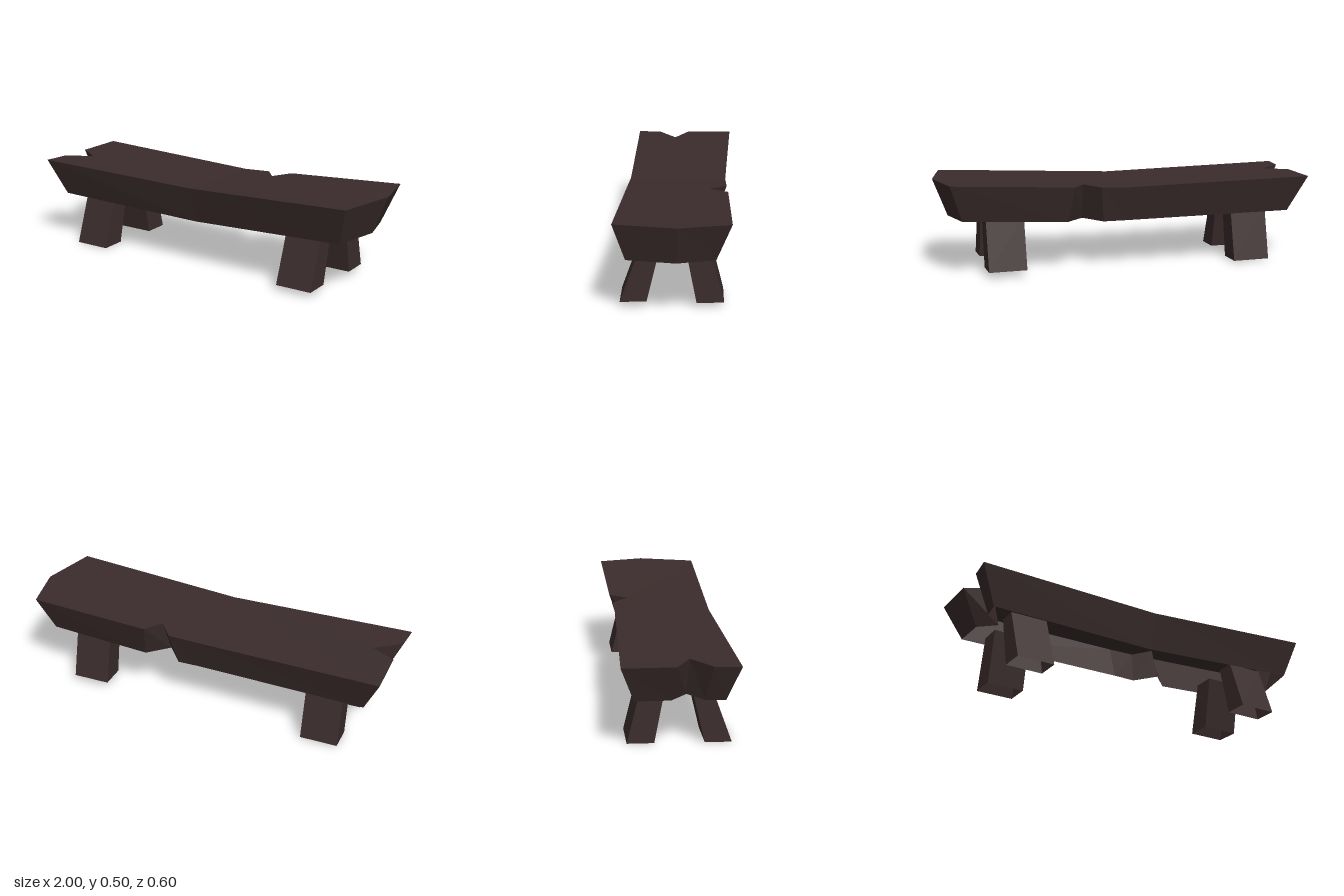
import * as THREE from 'three';

// The parts are open shells, so both sides show
const darkWood = new THREE.MeshStandardMaterial({ color: 0x3b2c2c, side: THREE.DoubleSide });
darkWood.name = 'darkWood';

// Seat corners: top x, top y, top z, bottom x, bottom y, bottom z
const CORNERS = [
  [0, 0.445, -0.25, 0, 0.257, -0.19],
  [0.15, 0.452, -0.26, 0.125, 0.259, -0.2],
  [0.23, 0.457, -0.17, 0.22, 0.262, -0.095], // notch in the back edge
  [0.29, 0.461, -0.27, 0.32, 0.267, -0.205],
  [0.935, 0.5, -0.3, 0.87, 0.302, -0.225],
  [1, 0.499, -0.05, 0.925, 0.301, -0.04],
  [0.94, 0.493, 0.26, 0.88, 0.297, 0.205],
  [0, 0.445, 0.26, 0, 0.252, 0.21],
  [-1, 0.458, 0.3, -0.91, 0.263, 0.238],
  [-0.99, 0.458, 0.17, -0.9, 0.263, 0.14],
  [-0.86, 0.456, 0.07, -0.81, 0.262, 0.06], // split in the left end
  [-0.99, 0.46, 0, -0.9, 0.265, -0.02],
  [-1, 0.463, -0.26, -0.91, 0.267, -0.195],
];

function createSeat() {
  const top = CORNERS.map((c) => new THREE.Vector3(c[0], c[1], c[2]));
  const bottom = CORNERS.map((c) => new THREE.Vector3(c[3], c[4], c[5]));
  const points = [];

  // The top bends along the middle, so each half is filled separately
  for (const half of [[0, 1, 2, 3, 4, 5, 6, 7], [7, 8, 9, 10, 11, 12, 0]]) {
    const loop = half.map((i) => top[i]);
    const flat = loop.map((p) => new THREE.Vector2(p.x, p.z));
    for (const [i, j, k] of THREE.ShapeUtils.triangulateShape(flat, [])) {
      const facesUp = THREE.ShapeUtils.area([flat[i], flat[j], flat[k]]) < 0;
      if (facesUp) points.push(loop[i], loop[j], loop[k]);
      else points.push(loop[i], loop[k], loop[j]);
    }
  }

  // Sloping sides; the underside stays open
  top.forEach((a, i) => {
    const n = (i + 1) % top.length;
    points.push(a, top[n], bottom[i], top[n], bottom[n], bottom[i]);
  });

  const geometry = new THREE.BufferGeometry().setFromPoints(points);
  geometry.computeVertexNormals();
  const mesh = new THREE.Mesh(geometry, darkWood);
  mesh.name = 'seat';
  return mesh;
}

// Open leg, slightly turned; z ranges [min, max] are given for each end
function createLeg(name, x, yBottom, yTop, zBottom, zTop) {
  const zCentre = (zBottom[0] + zBottom[1]) / 2;
  const geometry = new THREE.BoxGeometry(0.2, 1, 1);
  const pos = geometry.attributes.position;
  for (let i = 0; i < pos.count; i++) {
    const isTop = pos.getY(i) > 0;
    const side = pos.getZ(i) > 0 ? 1 : 0;
    pos.setY(i, isTop ? yTop : yBottom + (side === 0 ? 0.003 : 0));
    pos.setZ(i, (isTop ? zTop : zBottom)[side] - zCentre);
  }
  // Leave out the end faces
  const index = Array.from(geometry.index.array);
  geometry.setIndex([...index.slice(0, 12), ...index.slice(24)]);
  geometry.clearGroups();
  geometry.computeVertexNormals();
  const mesh = new THREE.Mesh(geometry, darkWood);
  mesh.name = name;
  mesh.position.set(x, 0, zCentre);
  mesh.rotation.y = 0.04;
  return mesh;
}

export function createModel() {
  const group = new THREE.Group();
  group.name = 'bench';
  group.add(
    createSeat(),
    createLeg('frontLeftLeg', 0.647, 0.029, 0.313, [0.121, 0.253], [0.054, 0.151]),
    createLeg('backLeftLeg', 0.647, 0.032, 0.313, [-0.258, -0.124], [-0.188, -0.07]),
    createLeg('frontRightLeg', -0.693, 0.001, 0.285, [0.149, 0.282], [0.084, 0.181]),
    createLeg('backRightLeg', -0.693, 0.005, 0.285, [-0.231, -0.097], [-0.163, -0.044]),
  );
  return group;
}
